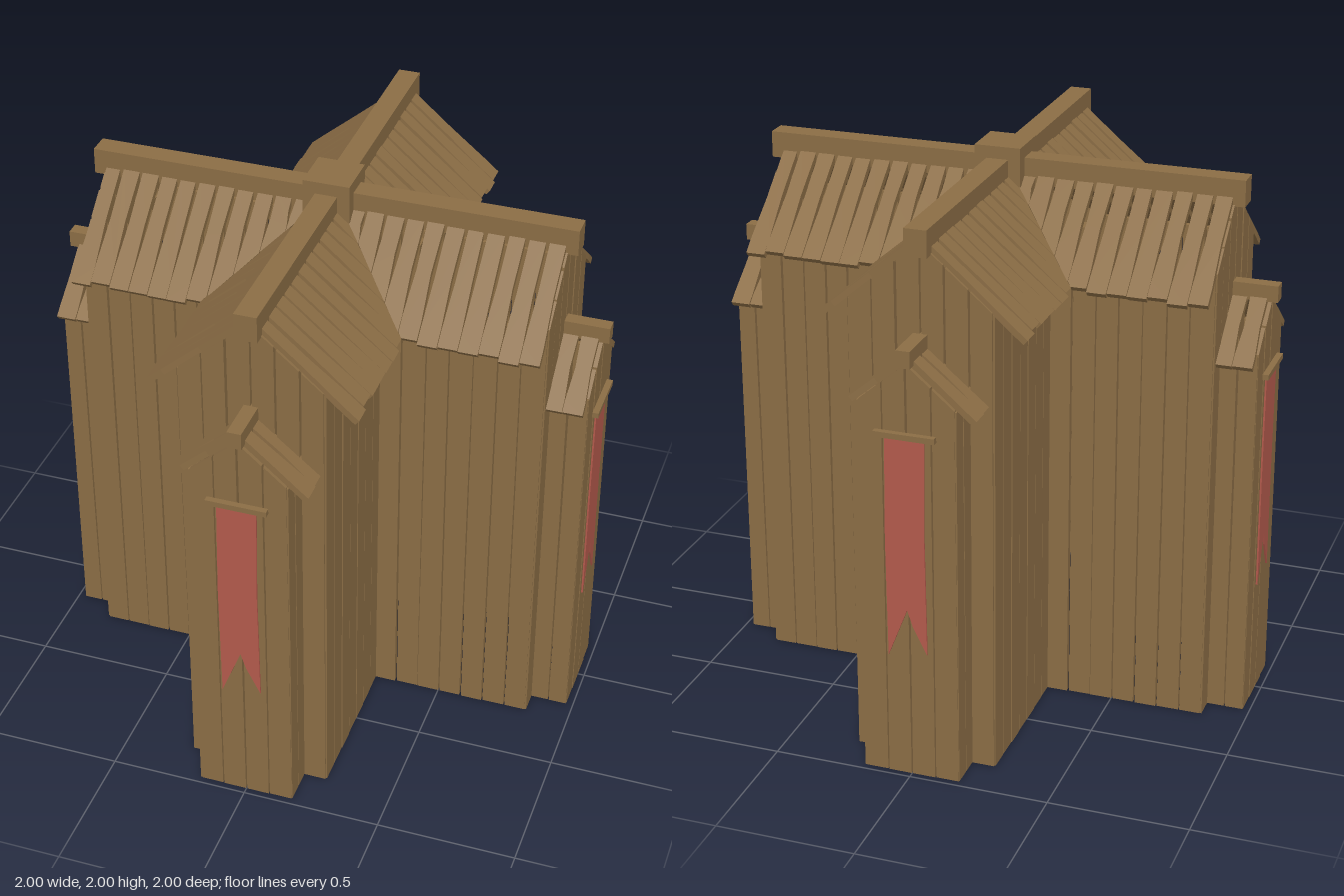
import * as THREE from 'three';

const wood = new THREE.MeshStandardMaterial({ color: 0x8b6d45, flatShading: true });
const cloth = new THREE.MeshStandardMaterial({ color: 0xb35a4c, side: THREE.DoubleSide });

// Repeatable small irregularities
let seed = 7;
const rand = () => (seed = (seed * 16807) % 2147483647) / 2147483647;
const jitter = (a) => (rand() - 0.5) * 2 * a;

// Flat board from an outline, placed with the given axes and origin
function board(name, pts, depth, offset, xAxis, yAxis, origin, mat = wood) {
  const shape = new THREE.Shape(pts.map(([x, y]) => new THREE.Vector2(x, y)));
  const geo = new THREE.ExtrudeGeometry(shape, { depth, bevelEnabled: false });
  geo.translate(0, 0, offset);
  const zAxis = xAxis.clone().cross(yAxis);
  geo.applyMatrix4(new THREE.Matrix4().makeBasis(xAxis, yAxis, zAxis).setPosition(origin));
  const mesh = new THREE.Mesh(geo, mat);
  mesh.name = name;
  return mesh;
}

function box(name, w, h, d, x, y, z) {
  const mesh = new THREE.Mesh(new THREE.BoxGeometry(w, h, d), wood);
  mesh.position.set(x, y, z);
  mesh.name = name;
  return mesh;
}

const V = (x, y, z) => new THREE.Vector3(x, y, z);
const UP = V(0, 1, 0);

// Row of upright planks from u0 to u1; topAt(u) gives the height
function plankWall(name, u0, u1, count, topAt, xAxis, origin) {
  const wall = new THREE.Group();
  wall.name = name;
  const w = (u1 - u0) / count;
  for (let i = 0; i < count; i++) {
    const a = u0 + i * w, b = a + w;
    const l0 = a + 0.001 + rand() * 0.003, l1 = a + 0.001 + rand() * 0.005;
    const r0 = b - 0.001 - rand() * 0.003, r1 = b - 0.001 - rand() * 0.005;
    const pts = [[l0, 0], [r0, 0], [r1, topAt(r1)]];
    if (l1 < 0 && r1 > 0) pts.push([0, topAt(0)]);
    pts.push([l1, topAt(l1)]);
    wall.add(board('wallPlank', pts, 0.018 + rand() * 0.004, -0.018, xAxis, UP, origin));
  }
  return wall;
}

// Both pitches of a planked roof running along z
function plankRoof(name, { z0, z1, count, ridge, top, eave, slope, valley }) {
  const roof = new THREE.Group();
  roof.name = name;
  const len = Math.hypot(1, slope), w = (z1 - z0) / count;
  for (const s of [1, -1]) {
    const down = V(s / len, -slope / len, 0);
    for (let i = 0; i < count; i++) {
      const a = z0 + i * w, b = a + w;
      const g = () => 0.004 + rand() * 0.006;
      const end = eave + jitter(0.007);
      const reach = (z) => (Math.max(valley ? Math.min(end, z) : end, top) - top) * len;
      const dl = reach(a), dr = reach(b);
      // narrower at the ridge, closing up near the eave
      const pts = [[a + g(), 0], [a + g(), dl * 0.45], [a + 0.001, dl * 0.85], [a + 0.001, dl]];
      const right = [[b - 0.001, dr], [b - 0.001, dr * 0.85], [b - g(), dr * 0.45], [b - g(), 0]];
      // valley board with a bend where the cut leaves the diagonal
      if (valley && a < end && b > end) pts.push([end, (end - top) * len]);
      pts.push(...right);
      const lift = jitter(0.003);
      roof.add(board('roofPlank', pts, 0.022, s > 0 ? -0.022 : 0, V(0, 0, 1), down,
        V(s * top, ridge + lift, 0)));
    }
  }
  return roof;
}

// Hanging swallow-tailed banner with its rod
function banner() {
  const g = new THREE.Group();
  g.name = 'banner';
  const pts = [[-0.075, 1.28], [-0.08, 0.9], [-0.075, 0.46], [-0.04, 0.55], [-0.005, 0.64],
    [0.015, 0.58], [0.035, 0.54], [0.065, 0.48], [0.06, 0.9], [0.065, 1.28]];
  g.add(board('bannerCloth', pts, 0.006, 0, V(1, 0, 0), UP, V(0, 0, 0.979), cloth));
  g.add(box('bannerRod', 0.215, 0.02, 0.022, -0.003, 1.28, 0.988));
  return g;
}

// One wing of the cross, facing +z
function wing() {
  const g = new THREE.Group();
  g.name = 'wing';
  const mainTop = (u) => 1.9 - 0.85 * Math.abs(u);
  const porchTop = (u) => 1.53 - 0.86 * Math.abs(u);

  // Gable ends
  g.add(plankWall('mainGable', -0.255, 0.255, 6, mainTop, V(1, 0, 0), V(0, 0, 0.838)));
  g.add(plankWall('porchGable', -0.172, 0.172, 4, porchTop, V(1, 0, 0), V(0, 0, 0.974)));

  // Side walls and corner posts
  for (const s of [1, -1]) {
    const along = V(0, 0, -s);
    const span = (a, b) => (s > 0 ? [-b, -a] : [a, b]);
    g.add(plankWall('mainSide', ...span(0.25, 0.838), 7, () => mainTop(0.255) - 0.005, along, V(s * 0.255, 0, 0)));
    g.add(plankWall('porchSide', ...span(0.835, 0.974), 2, () => porchTop(0.172), along, V(s * 0.172, 0, 0)));
    g.add(box('mainPost', 0.06, 1.64, 0.06, s * 0.205, 0.82, 0.788));
    g.add(box('porchPost', 0.05, 1.34, 0.05, s * 0.128, 0.67, 0.93));
  }
  // Post at the inner corner of the cross
  g.add(box('innerPost', 0.06, 1.64, 0.06, 0.225, 0.82, 0.225));

  // Roofs with their ridge beams
  g.add(plankRoof('mainRoof', { z0: 0.06, z1: 0.84, count: 11, ridge: 1.9, top: 0.03,
    eave: 0.365, slope: 0.85, valley: true }));
  g.add(plankRoof('porchRoof', { z0: 0.825, z1: 0.97, count: 2, ridge: 1.545, top: 0.015,
    eave: 0.235, slope: 0.83, valley: false }));
  g.add(box('mainRidgeBeam', 0.08, 0.095, 0.875, 0, 1.908, 0.4375));
  g.add(box('porchRidgeBeam', 0.05, 0.06, 0.18, 0, 1.555, 0.91));
  g.add(banner());
  return g;
}

export function createModel() {
  const model = new THREE.Group();
  model.name = 'plankHall';
  const base = wing();
  for (let i = 0; i < 4; i++) {
    const w = base.clone();
    w.rotation.y = (i * Math.PI) / 2;
    model.add(w);
  }
  // Cap where the ridge beams cross
  model.add(box('ridgeCap', 0.168, 0.14, 0.168, 0, 1.93, 0));
  return model;
}
